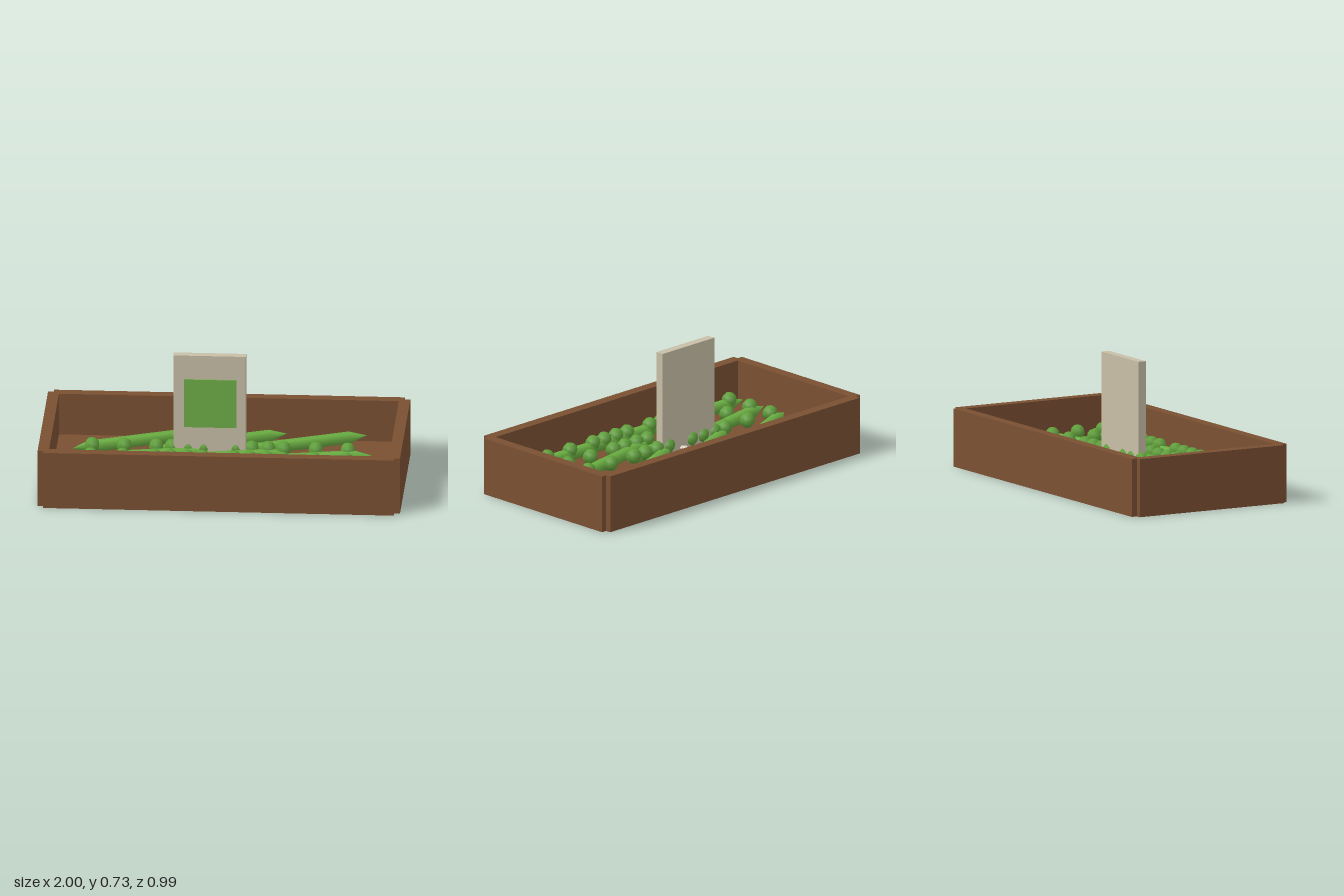
import * as THREE from 'three';

const mat = (name, color, side = THREE.FrontSide) => {
  const m = new THREE.MeshStandardMaterial({ color, side });
  m.name = name;
  return m;
};

export function createModel() {
  const wood = mat('brown wood', 0x7a5033);
  const card = mat('beige card', 0xc8bea6);
  const label = mat('label green', 0x6dab45);
  const podGreen = mat('pod green', 0x6cb043);
  const peaGreen = mat('pea green', 0x5f9f3a);
  const cream = mat('cream petal', 0xe8e0cc);

  const model = new THREE.Group();
  const add = (name, geometry, material, x, y, z, parent = model) => {
    const mesh = new THREE.Mesh(geometry, material);
    mesh.name = name;
    mesh.position.set(x, y, z);
    parent.add(mesh);
    return mesh;
  };
  const box = (name, w, h, d, material, x, y, z) =>
    add(name, new THREE.BoxGeometry(w, h, d), material, x, y, z);

  // Open crate with notched corners
  box('crateFloor', 1.9, 0.083, 0.9, wood, 0, 0.0435, 0);
  for (const s of [1, -1]) {
    box(s > 0 ? 'frontWall' : 'backWall', 1.936, 0.324, 0.062, wood, 0, 0.162, s * 0.464);
    box(s > 0 ? 'leftWall' : 'rightWall', 0.062, 0.324, 0.926, wood, s * 0.969, 0.162, 0);
  }

  // Upright sign with a coloured panel
  box('signBoard', 0.4, 0.728, 0.048, card, -0.08, 0.364, -0.024);
  box('signPanel', 0.29, 0.28, 0.008, label, -0.075, 0.45, 0.003);

  // Pod: six-sided tapered tube whose left tip is the origin
  const length = 0.79, taper = 0.1, r = 0.034;
  const podGeo = new THREE.LatheGeometry([
    new THREE.Vector2(0, 0),
    new THREE.Vector2(r, taper),
    new THREE.Vector2(r, length - taper),
    new THREE.Vector2(0, length),
  ], 6);
  podGeo.rotateZ(-Math.PI / 2);
  const peaGeo = new THREE.SphereGeometry(0.044, 6, 6);
  peaGeo.rotateY(Math.PI / 6);

  // Three rows of three pods, each row turned further, with straight rows of peas
  for (let row = 0; row < 3; row++) {
    const z = 0.29 - row * 0.16;
    for (let col = 0; col < 3; col++) {
      const x = -0.84 + col * 0.44;
      add('pod', podGeo, podGreen, x, 0.155, z).rotation.y = row * 0.2;
      for (let i = 0; i < 4; i++) add('pea', peaGeo, peaGreen, x + 0.11 + i * 0.177, 0.18, z);
    }
  }

  // Small blossoms
  const petalGeo = new THREE.SphereGeometry(0.011, 6, 4);
  petalGeo.scale(1, 0.7, 1);
  for (const [x, z] of [[-0.265, 0.235], [-0.005, -0.09], [0.17, 0.19]]) {
    const flower = new THREE.Group();
    flower.name = 'blossom';
    flower.position.set(x, 0.165, z);
    add('blossomCentre', petalGeo, cream, 0, 0.003, 0, flower);
    for (let i = 0; i < 5; i++) {
      const a = (i / 5) * Math.PI * 2;
      add('petal', petalGeo, cream, Math.sin(a) * 0.014, 0, Math.cos(a) * 0.014, flower);
    }
    model.add(flower);
  }
  return model;
}
